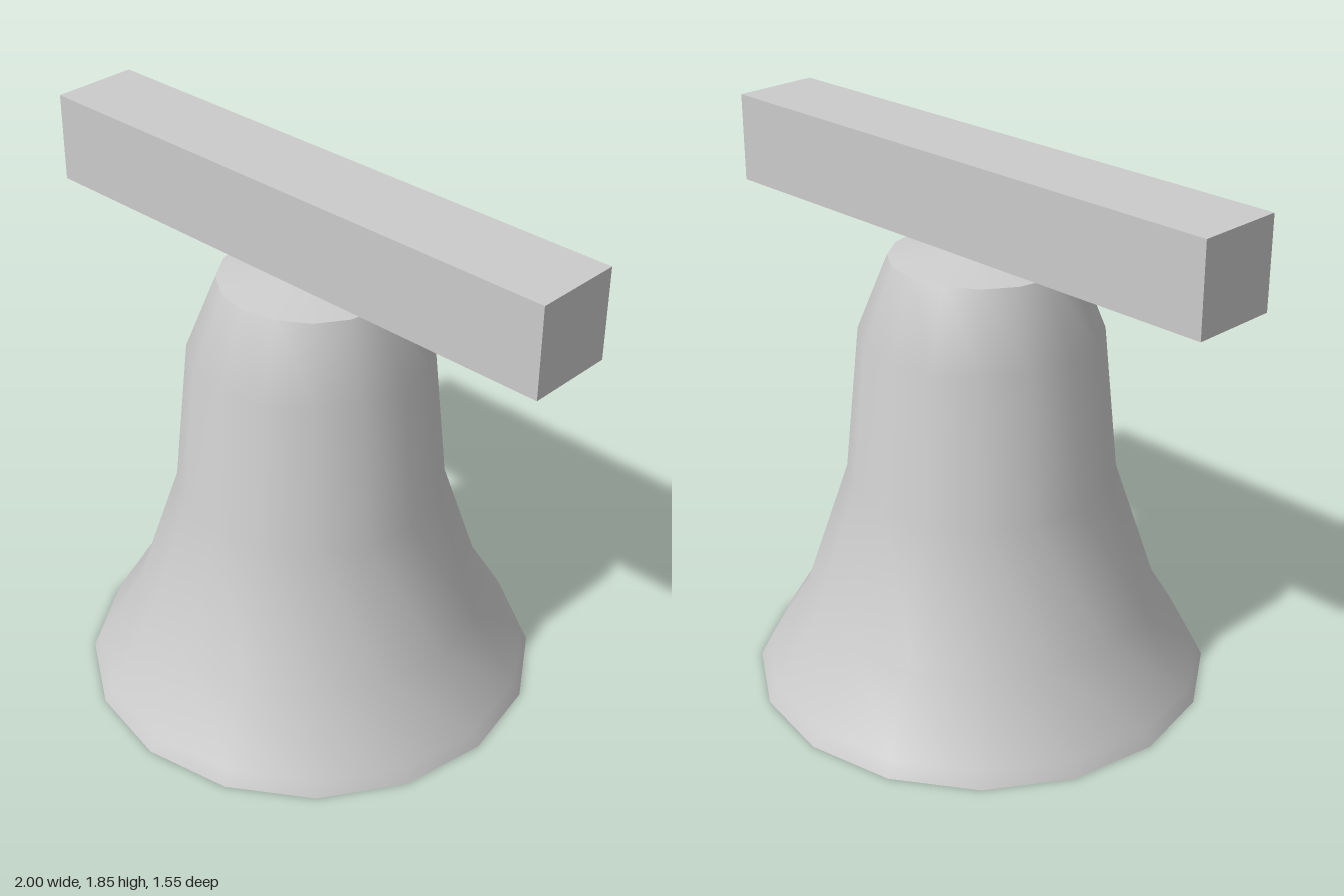
import * as THREE from 'three';

const SIDES = 16;
const material = new THREE.MeshStandardMaterial({ color: 0xcccccc });

function addMesh(group, name, geometry) {
  const mesh = new THREE.Mesh(geometry, material);
  mesh.name = name;
  group.add(mesh);
  return mesh;
}

// Surface of revolution from [radius, height] pairs
function lathe(points) {
  return new THREE.LatheGeometry(points.map(([r, y]) => new THREE.Vector2(r, y)), SIDES);
}

export function createModel() {
  const model = new THREE.Group();
  model.name = 'bell';

  // Flared bell wall, kept separate from base and crown so the rims stay sharp
  const wall = [[0.775, 0], [0.75, 0.05], [0.6, 0.3], [0.45, 0.75], [0.4, 1.25], [0.3, 1.5]];
  addMesh(model, 'bellWall', lathe(wall));

  // Flat closed underside
  addMesh(model, 'bellBase', lathe([[0, 0], [0.775, 0]]));

  // Shallow cone on top
  addMesh(model, 'bellCrown', lathe([[0.3, 1.5], [0, 1.55]]));

  // Square beam the bell hangs from
  addMesh(model, 'beam', new THREE.BoxGeometry(2, 0.3, 0.3)).position.y = 1.7;

  return model;
}
